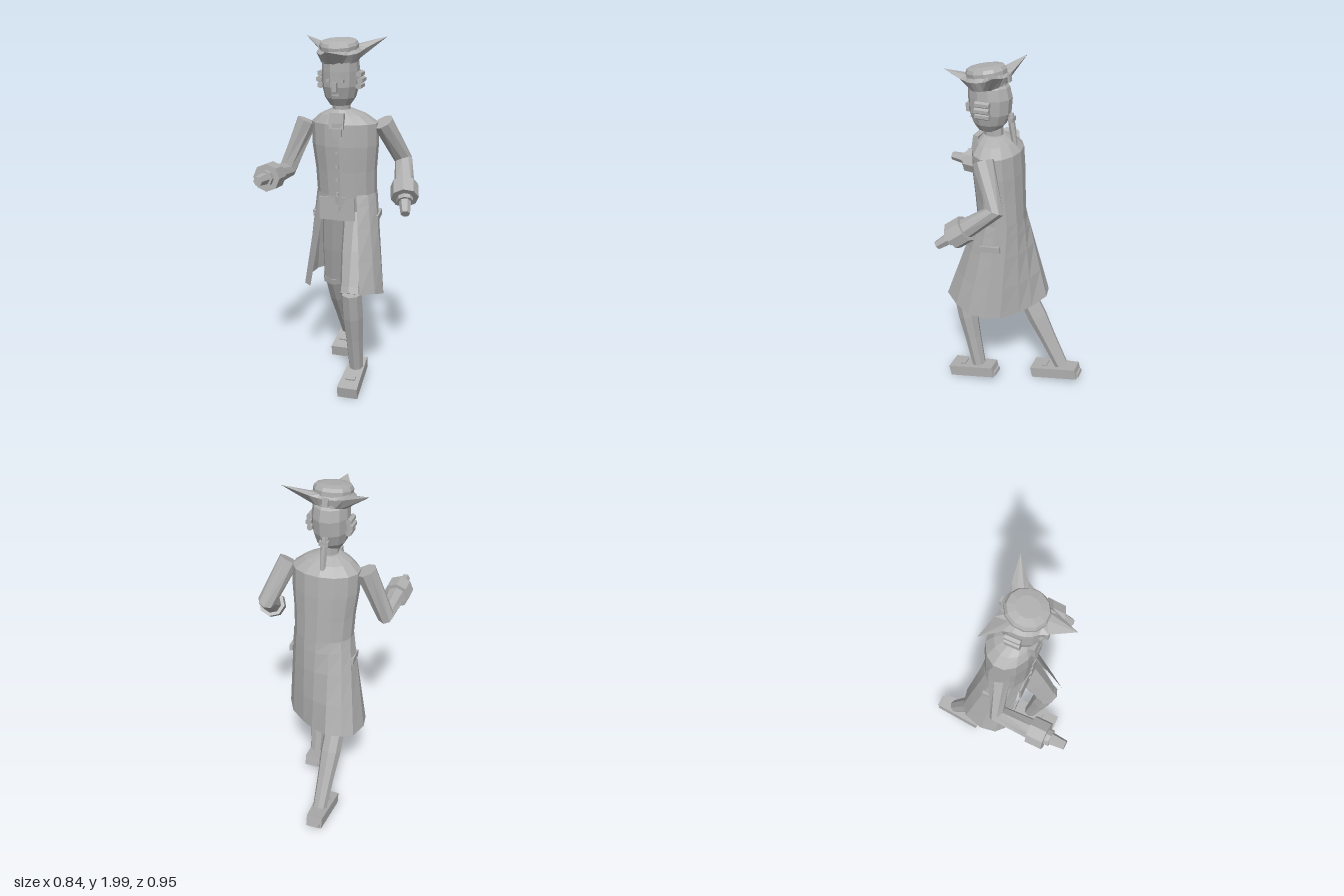
import * as THREE from 'three';

const grey = new THREE.MeshStandardMaterial({ color: 0xb0b0b0, flatShading: true, side: THREE.DoubleSide });
grey.name = 'plain grey';
const V = (x, y, z) => new THREE.Vector3(x, y, z);

// Skin a list of equally sized rings (counter-clockwise seen from the end)
function loft(rings, closed = true, caps = true) {
  const pos = [];
  const tri = (...p) => p.forEach(q => pos.push(q.x, q.y, q.z));
  const n = rings[0].length;
  for (let r = 0; r + 1 < rings.length; r++) {
    for (let i = 0; i < (closed ? n : n - 1); i++) {
      const j = (i + 1) % n, a = rings[r], b = rings[r + 1];
      tri(a[i], a[j], b[j]);
      tri(a[i], b[j], b[i]);
    }
  }
  if (closed && caps) {
    const a = rings[0], b = rings[rings.length - 1];
    for (let i = 1; i + 1 < n; i++) {
      tri(a[0], a[i + 1], a[i]);
      tri(b[0], b[i], b[i + 1]);
    }
  }
  const g = new THREE.BufferGeometry();
  g.setAttribute('position', new THREE.Float32BufferAttribute(pos, 3));
  g.computeVertexNormals();
  return g;
}

// Horizontal ellipse ring
function oval(y, cx, cz, rx, rz, n = 14) {
  return Array.from({ length: n }, (_, i) => {
    const t = (i + 0.5) / n * Math.PI * 2;
    return V(cx + rx * Math.cos(t), y, cz - rz * Math.sin(t));
  });
}

// Faceted limb through points [x, y, z, radius]
function limb(points, n = 7) {
  const c = points.map(p => V(p[0], p[1], p[2]));
  const rings = points.map((p, k) => {
    const d = V(0, 0, 0);
    if (k > 0) d.add(c[k].clone().sub(c[k - 1]).normalize());
    if (k + 1 < c.length) d.add(c[k + 1].clone().sub(c[k]).normalize());
    d.normalize();
    const u = V(1, 0, 0).addScaledVector(d, -d.x).normalize();
    const v = d.clone().cross(u);
    return Array.from({ length: n }, (_, i) => {
      const t = i / n * Math.PI * 2;
      return c[k].clone().addScaledVector(u, p[3] * Math.cos(t)).addScaledVector(v, p[3] * Math.sin(t));
    });
  });
  return loft(rings);
}

export function createModel() {
  const model = new THREE.Group();
  model.name = 'walkingGentleman';
  function add(name, geometry, parent = model) {
    const m = new THREE.Mesh(geometry, grey);
    m.name = name;
    parent.add(m);
    return m;
  }
  function box(name, w, h, d, x, y, z, rx = 0, ry = 0, parent = model) {
    const m = add(name, new THREE.BoxGeometry(w, h, d), parent);
    m.position.set(x, y, z);
    m.rotation.set(rx, ry, 0);
    return m;
  }

  // Coat body and sloping shoulders
  add('coatBody', loft([
    oval(1.13, -0.01, 0.0, 0.168, 0.13), oval(1.28, -0.012, 0.01, 0.172, 0.132),
    oval(1.42, -0.014, 0.02, 0.186, 0.135), oval(1.54, -0.015, 0.025, 0.187, 0.13),
    oval(1.585, -0.02, 0.035, 0.13, 0.1), oval(1.615, -0.025, 0.05, 0.06, 0.06)]));

  // Waistcoat hem and hips
  add('waistcoatHem', loft([
    oval(1.0, -0.025, 0.01, 0.125, 0.115), oval(1.14, -0.015, 0.005, 0.16, 0.13)]));
  box('waistcoatPanel', 0.2, 0.13, 0.012, -0.035, 1.07, 0.122);
  for (let i = 0; i < 6; i++) {
    box('button', 0.016, 0.018, 0.014, -0.027, 1.08 + i * 0.077, 0.13 + i * 0.004);
  }

  // Open coat skirt swinging with the stride
  const hem = [[0.14, 0.64, 0.285], [0.205, 0.62, 0.2], [0.232, 0.59, 0.11], [0.21, 0.57, 0.02],
    [0.165, 0.56, -0.06], [0.07, 0.565, -0.14], [0, 0.575, -0.19], [-0.1, 0.6, -0.247],
    [-0.195, 0.595, -0.228], [-0.25, 0.585, -0.185], [-0.28, 0.57, -0.07], [-0.265, 0.565, 0.02],
    [-0.215, 0.57, 0.07]];
  const skirt = [0, 0.33, 0.66, 0.88, 1].map(t => hem.map((p, i) => {
    const a = -1.05 + i / (hem.length - 1) * 5.2;
    const top = V(-0.01 + 0.172 * Math.cos(a), 1.15, -0.135 * Math.sin(a));
    return V(...p).lerp(top, t);
  }));
  add('coatSkirt', loft(skirt, false));
  box('leftPocketFlap', 0.018, 0.035, 0.12, 0.172, 1.015, 0.0, 0.1, 0.05);
  box('rightPocketFlap', 0.018, 0.035, 0.12, -0.195, 1.015, -0.02, 0.1, 0.05);

  // Legs: breeches, knee bands, stockings and shoes
  const legs = [
    { side: 'left', hip: [0.06, 1.02, 0.03], knee: [0.075, 0.62, 0.215], ankle: [0.078, 0.12, 0.12], shoe: [0.072, 0.155] },
    { side: 'right', hip: [-0.075, 1.02, -0.01], knee: [-0.122, 0.565, -0.115], ankle: [-0.107, 0.12, -0.355], shoe: [-0.107, -0.322] }];
  for (const { side, hip, knee, ankle, shoe } of legs) {
    const along = (a, b, t, r) => [...V(...a).lerp(V(...b), t).toArray(), r];
    add(side + 'Breeches', limb([[...hip, 0.082], along(hip, knee, 0.5, 0.078), [...knee, 0.064]], 8));
    add(side + 'KneeBand', limb([along(hip, knee, 0.94, 0.069), along(hip, knee, 1.02, 0.069)], 8));
    add(side + 'Stocking', limb([[...knee, 0.058], along(knee, ankle, 0.3, 0.06), along(knee, ankle, 0.6, 0.05),
      [...ankle, 0.042]], 8));
    const foot = new THREE.Group();
    foot.name = side + 'Shoe';
    foot.position.set(shoe[0], 0.066, shoe[1]);
    foot.rotation.x = 0.21;
    model.add(foot);
    const g = new THREE.BoxGeometry(0.116, 0.068, 0.29);
    const p = g.attributes.position;
    for (let i = 0; i < p.count; i++) if (p.getZ(i) < 0) p.setX(i, p.getX(i) * 0.8);
    g.computeVertexNormals();
    add('shoeBody', g, foot);
    box('buckle', 0.055, 0.014, 0.03, 0, 0.037, 0.06, 0, 0, foot);
    box('heelTab', 0.07, 0.022, 0.02, 0, -0.015, -0.148, 0, 0, foot);
  }

  // Arms: sleeve, broad cuff, wrist frill, hand
  const arms = [
    { side: 'left', shoulder: [0.195, 1.545, 0.02], elbow: [0.29, 1.325, -0.085], hand: [0.368, 1.1, 0.215] },
    { side: 'right', shoulder: [-0.225, 1.54, 0.045], elbow: [-0.335, 1.265, 0.08], hand: [-0.352, 1.288, 0.47] }];
  for (const { side, shoulder, elbow, hand } of arms) {
    const length = V(...hand).distanceTo(V(...elbow));
    const at = (back, r) => [...V(...hand).lerp(V(...elbow), back / length).toArray(), r];
    add(side + 'Sleeve', limb([[...shoulder, 0.058], [...elbow, 0.05], at(0.18, 0.056)], 8));
    add(side + 'Cuff', limb([at(0.195, 0.075), at(0.105, 0.075)], 8));
    add(side + 'Frill', limb([at(0.12, 0.044), at(0.08, 0.044)], 8));
    add(side + 'Hand', limb([at(0.11, 0.036), at(0, 0.025)], 6));
  }

  // Neck, neckcloth and head
  add('neck', loft([oval(1.59, -0.025, 0.055, 0.048, 0.055, 8), oval(1.69, -0.025, 0.06, 0.048, 0.055, 8)]));
  box('neckclothKnot', 0.08, 0.085, 0.03, -0.025, 1.56, 0.15, -0.15);
  box('neckclothTail', 0.05, 0.07, 0.02, -0.02, 1.515, 0.16);
  add('head', loft([
    oval(1.64, -0.025, 0.08, 0.055, 0.06, 12), oval(1.68, -0.025, 0.077, 0.082, 0.092, 12),
    oval(1.74, -0.024, 0.075, 0.097, 0.115, 12), oval(1.82, -0.023, 0.073, 0.1, 0.12, 12),
    oval(1.88, -0.023, 0.08, 0.095, 0.112, 12), oval(1.92, -0.024, 0.085, 0.07, 0.085, 12)]));
  box('nose', 0.024, 0.045, 0.03, -0.022, 1.745, 0.195);
  box('mouth', 0.04, 0.008, 0.01, -0.023, 1.7, 0.176);
  for (const s of [-1, 1]) {
    box('eye', 0.017, 0.017, 0.02, -0.023 + s * 0.038, 1.775, 0.182);
    // Three rolled curls over each ear
    for (let i = 0; i < 3; i++) {
      const curl = add('sideCurl', new THREE.CylinderGeometry(0.017, 0.017, 0.08, 6));
      curl.position.set(-0.023 + s * (i === 1 ? 0.112 : 0.105), 1.742 + i * 0.031, 0.072);
      curl.rotation.x = Math.PI / 2;
    }
  }
  add('pigtail', limb([[-0.025, 1.74, -0.04, 0.018], [-0.025, 1.66, -0.052, 0.018], [-0.025, 1.52, -0.075, 0.012]], 6));
  box('pigtailBow', 0.05, 0.025, 0.025, -0.025, 1.71, -0.048);

  // Three-cornered hat, tipped slightly forward
  const hat = new THREE.Group();
  hat.name = 'hat';
  hat.position.set(-0.026, 1.91, 0.09);
  hat.rotation.x = 0.15;
  model.add(hat);
  add('hatCrown', loft([
    oval(-0.035, 0, 0, 0.1, 0.108, 12), oval(0.045, 0, 0, 0.104, 0.11, 12),
    oval(0.062, 0, 0, 0.095, 0.1, 12), oval(0.07, 0, 0, 0.055, 0.06, 12)]), hat);
  const tips = [[0.56, 0.268], [Math.PI - 0.56, 0.268], [Math.PI * 1.5, 0.245]];
  const ring = f => Array.from({ length: 24 }, (_, i) => {
    let t = (i + 0.5) / 24 * Math.PI * 2, pull = 0, reach = 0;
    for (const [angle, r] of tips) {
      const d = Math.abs(t - angle);
      if (d <= Math.PI / 24 + 0.001) { pull = 1; reach = r; t = angle; }
      else if (d < 0.42 && !pull) { pull = 0.2; reach = r; }
    }
    return f(t, pull, reach);
  });
  const polar = (t, r, y) => V(r * Math.cos(t), y, -r * Math.sin(t));
  add('hatBrim', loft([
    ring(t => polar(t, 0.1, -0.04)),
    ring((t, pull, reach) => polar(t, 0.12 + (reach - 0.12) * pull, 0.01 + 0.05 * pull)),
    ring(t => polar(t, 0.1, 0.028))], true, false), hat);
  box('hatCockade', 0.03, 0.04, 0.012, 0, 0.0, -0.125, 0, 0, hat);

  return model;
}
